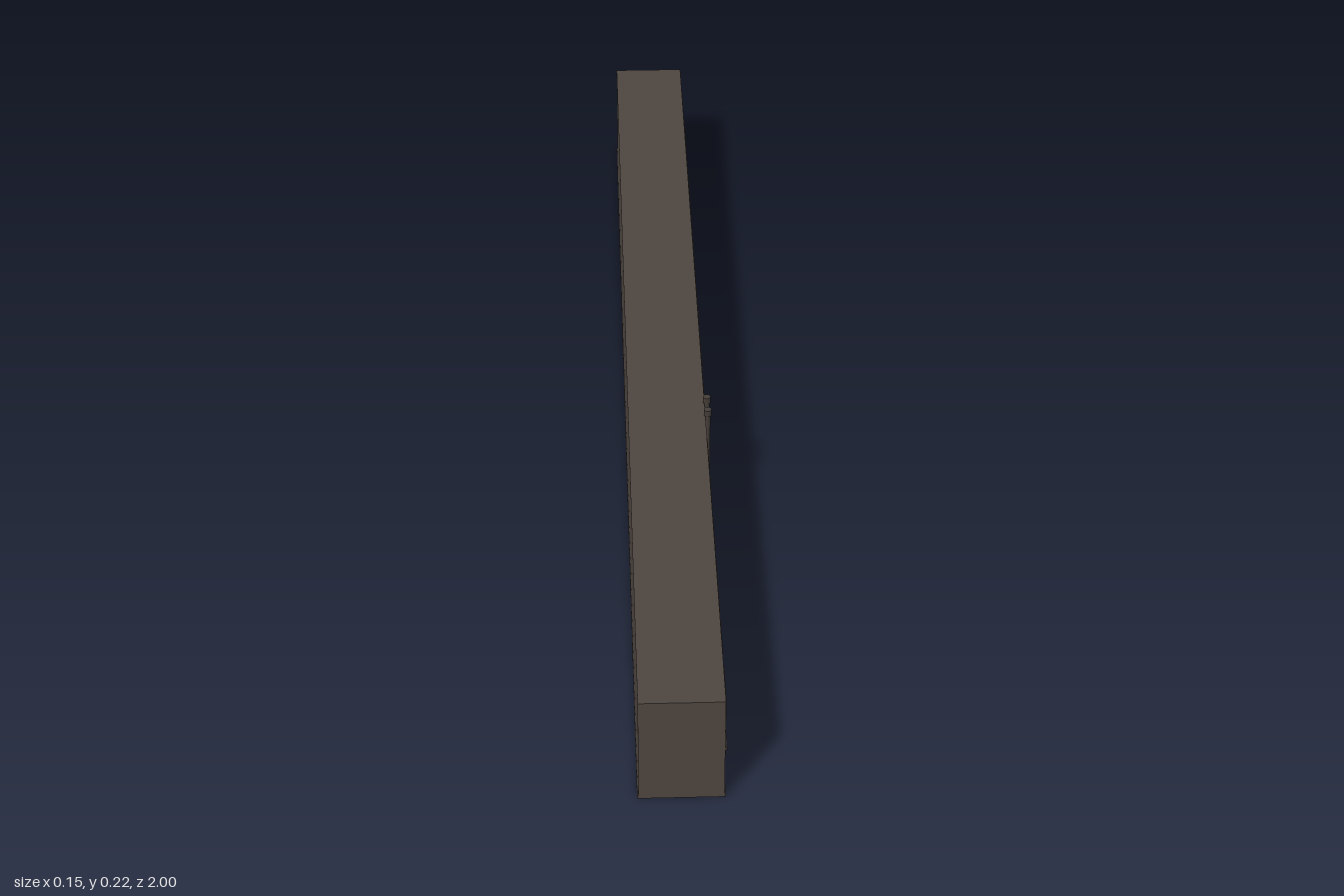
import * as THREE from 'three';

export function createModel() {
  const model = new THREE.Group();
  const material = (name, color) => new THREE.MeshStandardMaterial({ name, color, side: THREE.DoubleSide });
  const wallMat = material('wall brown', 0x4d453f);
  const trimMat = material('trim brown', 0x403833);
  const metalMat = material('pipe grey brown', 0x443d39);

  const add = (name, geometry, mat, x, y, z) => {
    const mesh = new THREE.Mesh(geometry, mat);
    mesh.name = name;
    mesh.position.set(x, y, z);
    model.add(mesh);
    return mesh;
  };
  const box = (name, mat, w, h, d, x, y, z) => add(name, new THREE.BoxGeometry(w, h, d), mat, x, y, z);

  const left = 0.063, right = -0.074, height = 0.203;
  const width = left - right, middle = (left + right) / 2;

  // Hollow shell, open underneath
  const roof = add('roof', new THREE.PlaneGeometry(width, 2), wallMat, middle, height, 0);
  roof.rotation.x = -Math.PI / 2;
  for (const s of [1, -1]) {
    const side = add('sideWall', new THREE.PlaneGeometry(2, height), wallMat, s > 0 ? left : right, height / 2, 0);
    side.rotation.y = s * Math.PI / 2;
    const end = add('endWall', new THREE.PlaneGeometry(width, height), wallMat, middle, height / 2, s);
    end.rotation.y = s > 0 ? 0 : Math.PI;
  }

  // Base strips and the rail at mid height
  box('baseStrip', trimMat, 0.002, 0.008, 2, left + 0.001, 0.004, 0);
  box('baseStrip', trimMat, 0.002, 0.008, 2, right - 0.001, 0.004, 0);
  box('midRail', trimMat, 0.003, 0.005, 2, left + 0.0015, 0.104, 0);

  // Ribs, leaning back to the wall at the top
  const profile = new THREE.Shape();
  profile.moveTo(0, 0);
  profile.lineTo(0.007, 0);
  profile.lineTo(0.006, 0.125);
  profile.lineTo(0.002, 0.185);
  profile.lineTo(0, 0.185);
  const ribWidth = 0.011;
  const rib = new THREE.ExtrudeGeometry(profile, { depth: ribWidth, bevelEnabled: false });
  const ribs = [0.9, 0.79, 0.68, 0.63, 0.52, 0.41, 0.305, 0.2, 0.09, 0.03, -0.02, -0.13, -0.18,
    -0.29, -0.34, -0.395, -0.51, -0.56, -0.615, -0.67, -0.775, -0.83, -0.935];
  for (const z of ribs) add('rib', rib, wallMat, left, 0, z - ribWidth / 2);

  // Tall capped pipes
  for (const z of [0.258, 0.22]) {
    add('pipe', new THREE.CylinderGeometry(0.005, 0.005, 0.21, 10), metalMat, 0.067, 0.105, z);
    add('pipeCap', new THREE.CylinderGeometry(0.007, 0.007, 0.012, 10), metalMat, 0.067, 0.212, z);
  }

  // Drain outlets along the base, each with a frame of three bars
  for (const z of [0.71, 0.46, 0.24, -0.235, -0.71]) {
    for (const s of [1, -1]) box('outletPost', trimMat, 0.003, 0.032, 0.003, left + 0.0015, 0.016, z + s * 0.011);
    box('outletTop', trimMat, 0.003, 0.003, 0.025, left + 0.0015, 0.033, z);
    box('outletPanel', trimMat, 0.001, 0.032, 0.022, left + 0.0005, 0.016, z);
  }

  // Small vents near the top, and one low hatch
  for (const z of [0.84, 0.575, 0.337, -0.07, -0.477, -0.88]) {
    box('vent', trimMat, 0.003, 0.016, 0.016, left + 0.0015, 0.152, z);
  }
  box('hatch', trimMat, 0.003, 0.012, 0.016, left + 0.0015, 0.04, 0.134);

  return model;
}
